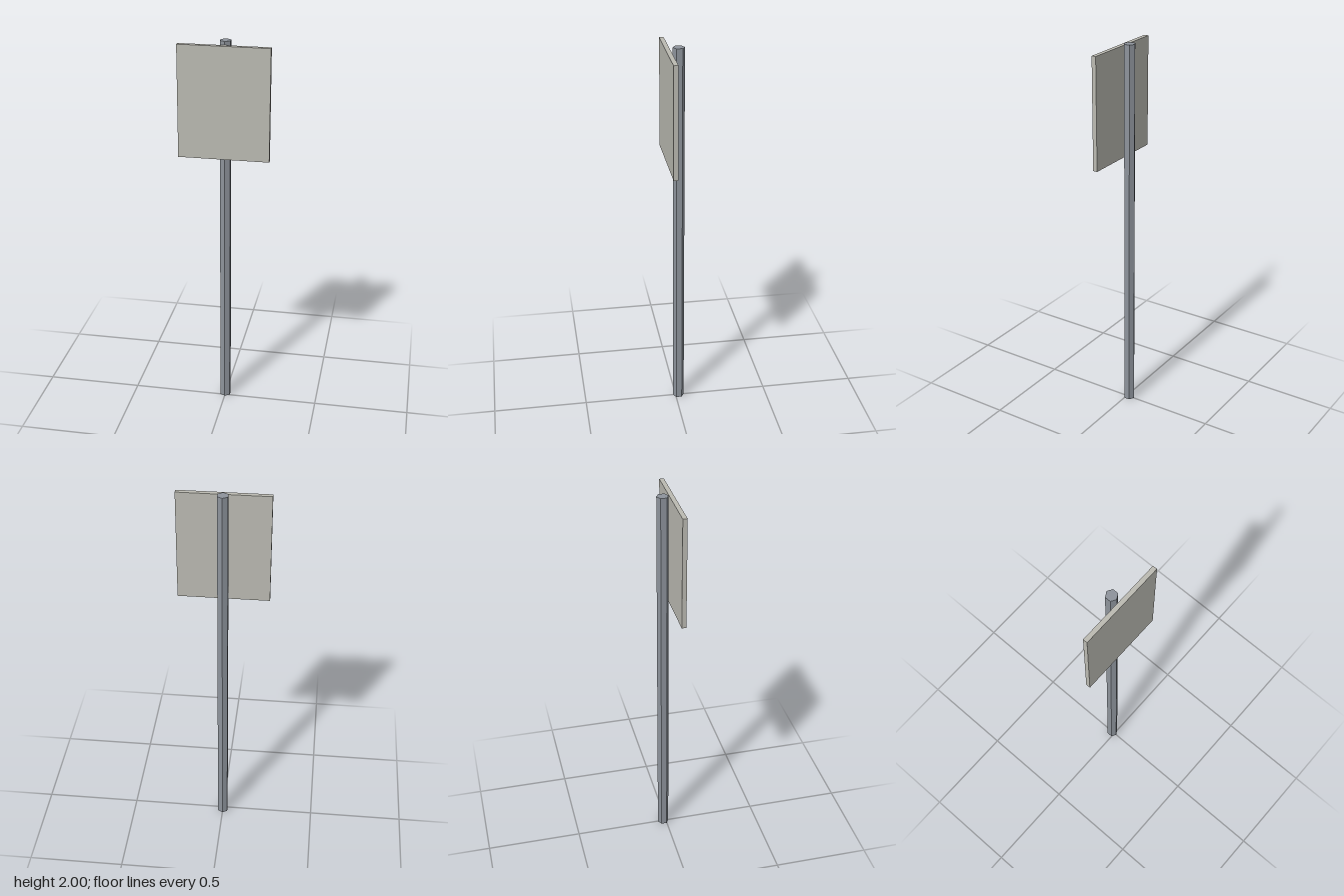
import * as THREE from 'three';

export function createModel() {
  const group = new THREE.Group();
  const poleMetal = new THREE.MeshStandardMaterial({ color: 0x8d939b, flatShading: true });
  poleMetal.name = 'pole metal';
  const panelGrey = new THREE.MeshStandardMaterial({ color: 0xbbbab2, flatShading: true });
  panelGrey.name = 'panel warm grey';

  // Hexagonal pole, with corners facing front and back
  const pole = new THREE.Mesh(new THREE.CylinderGeometry(0.03, 0.03, 2, 6), poleMetal);
  pole.name = 'pole';
  pole.position.set(0, 1, -0.016);

  // Flat sign panel, held just clear of the pole
  const panel = new THREE.Mesh(new THREE.BoxGeometry(0.462, 0.577, 0.023), panelGrey);
  panel.name = 'signPanel';
  panel.position.set(0, 1.696, 0.0345);

  group.add(pole, panel);
  return group;
}
